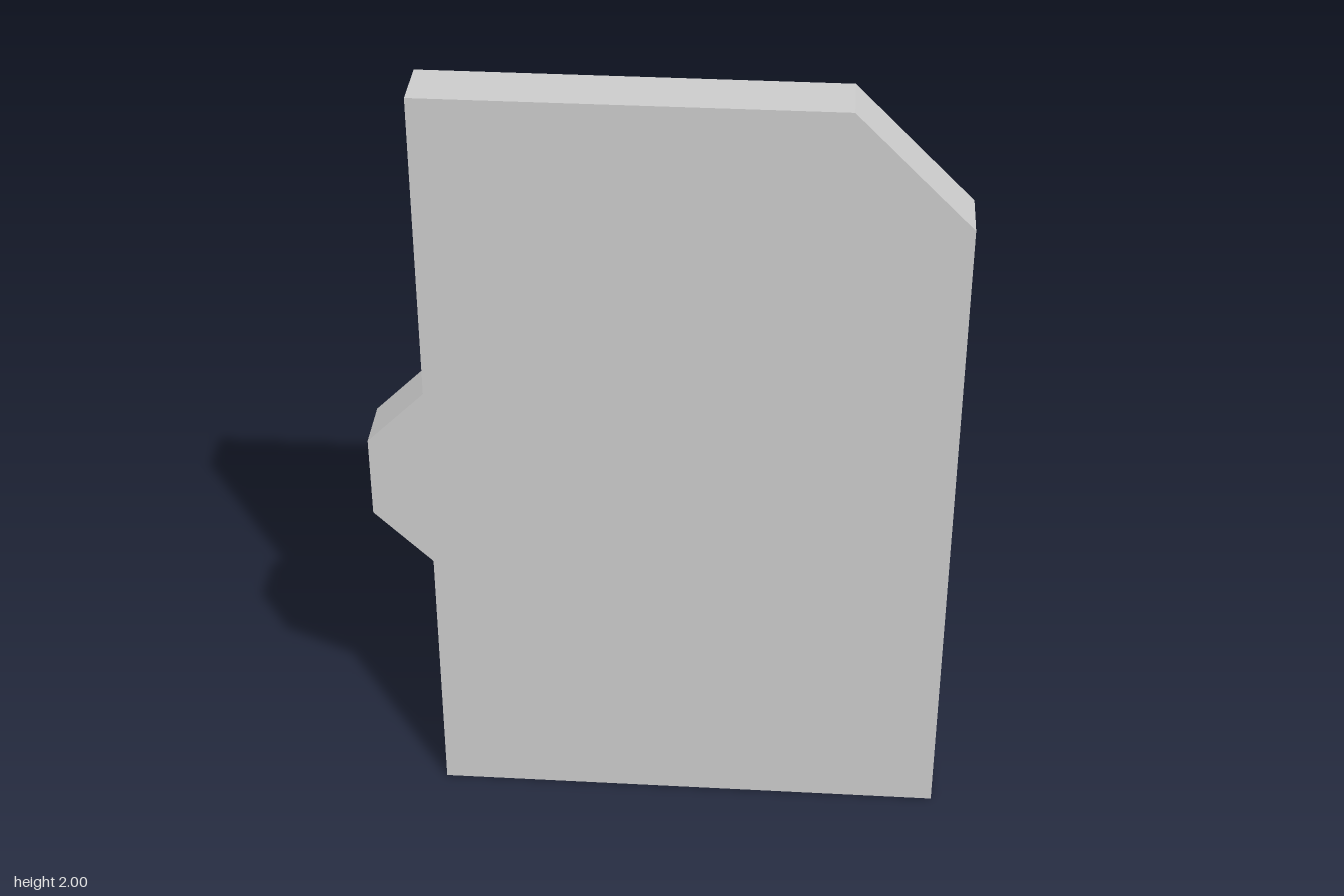
import * as THREE from 'three';

export function createModel() {
  const group = new THREE.Group();
  group.name = 'notchedPlate';

  // Plate outline, counter-clockwise: chamfered top corner and a tapered side tab
  const outline = [
    [-0.571, 0], [0.714, 0], [0.714, 1.714], [0.429, 2], [-0.571, 2],
    [-0.571, 1.214], [-0.714, 1.071], [-0.714, 0.857], [-0.571, 0.714],
  ].map(([x, y]) => new THREE.Vector2(x, y));

  // Flat slab centred on z = 0
  const depth = 0.143;
  const geometry = new THREE.ExtrudeGeometry(new THREE.Shape(outline), { depth, bevelEnabled: false });
  geometry.translate(0, 0, -depth / 2);

  const material = new THREE.MeshStandardMaterial({ color: 0xcccccc, flatShading: true });
  const plate = new THREE.Mesh(geometry, material);
  plate.name = 'plate';
  group.add(plate);

  return group;
}
